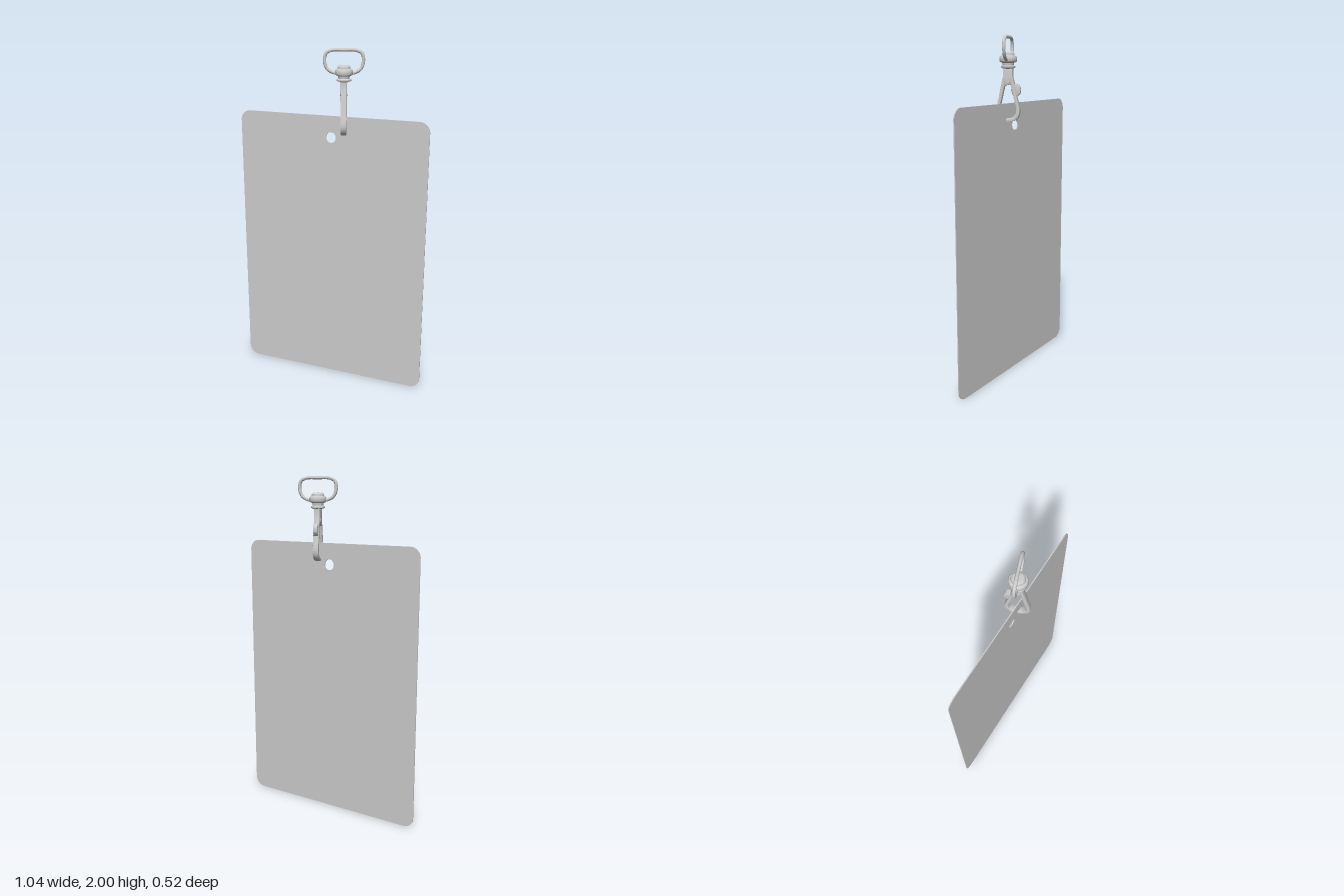
import * as THREE from 'three';
import { toCreasedNormals } from 'three/addons/utils/BufferGeometryUtils.js';

const material = new THREE.MeshStandardMaterial({ color: 0xcccccc });

function addMesh(parent, name, geometry, crease = 0.6) {
  const mesh = new THREE.Mesh(toCreasedNormals(geometry, crease), material);
  mesh.name = name;
  parent.add(mesh);
  return mesh;
}

const points = (list) => list.map(([x, y]) => new THREE.Vector2(x, y));

// Extrude a (z, y) outline across x, centred on x = 0
function sideExtrude(shape, width, bevel = 0.004) {
  const geometry = new THREE.ExtrudeGeometry(shape, {
    depth: width - 2 * bevel, bevelEnabled: true, bevelSize: bevel,
    bevelThickness: bevel, bevelOffset: -bevel, bevelSegments: 2, curveSegments: 16,
  });
  geometry.translate(0, 0, -(width - 2 * bevel) / 2);
  return geometry.rotateY(-Math.PI / 2);
}

function createCard() {
  const w = 0.58, h = 1.625, r = 0.06, t = 0.006;
  const shape = new THREE.Shape();
  shape.moveTo(-w + r, 0);
  shape.lineTo(w - r, 0);
  shape.absarc(w - r, r, r, -Math.PI / 2, 0);
  shape.absarc(w - r, h - r, r, 0, Math.PI / 2);
  shape.absarc(-w + r, h - r, r, Math.PI / 2, Math.PI);
  shape.absarc(-w + r, r, r, Math.PI, Math.PI * 1.5);
  const hole = new THREE.Path();
  hole.absarc(0, 1.5, 0.031, 0, Math.PI * 2, true);
  shape.holes.push(hole);
  const geometry = new THREE.ExtrudeGeometry(shape, { depth: t, bevelEnabled: false, curveSegments: 16 });
  return geometry.translate(0, 0, -t / 2);
}

// Closed jaw: tapered shank splitting into two legs joined by a rounded hook
function createJaw() {
  const shape = new THREE.Shape();
  shape.moveTo(0.028, 1.825);
  shape.lineTo(0.027, 1.775);
  shape.splineThru(points([[0.038, 1.73], [0.052, 1.66], [0.068, 1.585], [0.058, 1.545], [0.03, 1.525], [0, 1.52],
    [-0.03, 1.525], [-0.058, 1.545], [-0.068, 1.585], [-0.052, 1.66], [-0.038, 1.73], [-0.027, 1.775]]));
  shape.lineTo(-0.028, 1.825);
  const opening = new THREE.Path();
  opening.moveTo(0.02, 1.72);
  opening.splineThru(points([[0, 1.728], [-0.02, 1.72], [-0.033, 1.66], [-0.048, 1.59], [-0.04, 1.56], [-0.02, 1.545],
    [0, 1.541], [0.02, 1.545], [0.04, 1.56], [0.048, 1.59], [0.033, 1.66], [0.02, 1.72]]));
  shape.holes.push(opening);
  return sideExtrude(shape, 0.034);
}

// Closed D-shaped strap loop
function createLoop() {
  const half = [[0.065, 1.99], [0.098, 1.975], [0.108, 1.935], [0.093, 1.89], [0.055, 1.868]];
  const mirrored = half.map(([x, y]) => [-x, y]).reverse();
  const path = [[0, 1.991], ...half, [0, 1.865], ...mirrored].map(([x, y]) => new THREE.Vector3(x, y, 0));
  return new THREE.TubeGeometry(new THREE.CatmullRomCurve3(path, true), 80, 0.0095, 10, true);
}

export function createModel() {
  const model = new THREE.Group();
  model.name = 'tagWithClip';

  // Thin card standing at an angle
  addMesh(model, 'card', createCard()).rotation.y = -Math.atan(0.5);

  const clip = new THREE.Group();
  clip.name = 'clip';
  clip.position.set(0.07, 0, 0.029);
  clip.rotation.y = -0.11;
  model.add(clip);

  addMesh(clip, 'strapLoop', createLoop(), 1.2);

  // Domed swivel barrel with a lower flange
  const profile = points([[0, 1.816], [0.028, 1.818], [0.041, 1.824], [0.041, 1.832], [0.031, 1.836], [0.033, 1.85],
    [0.047, 1.856], [0.05, 1.862], [0.05, 1.878], [0.046, 1.886], [0.037, 1.89], [0.035, 1.902], [0.028, 1.908], [0, 1.911]]);
  addMesh(clip, 'swivel', new THREE.LatheGeometry(profile, 40));

  addMesh(clip, 'jaw', createJaw());

  // Thumb knob on the back leg
  const knob = new THREE.Shape();
  knob.absellipse(-0.046, 1.7, 0.027, 0.036, 0, Math.PI * 2);
  addMesh(clip, 'thumbKnob', sideExtrude(knob, 0.026));

  // Hinge pin across the shank
  const pin = new THREE.CylinderGeometry(0.011, 0.011, 0.04, 20).rotateZ(Math.PI / 2);
  addMesh(clip, 'hingePin', pin).position.set(0, 1.752, 0);

  return model;
}
